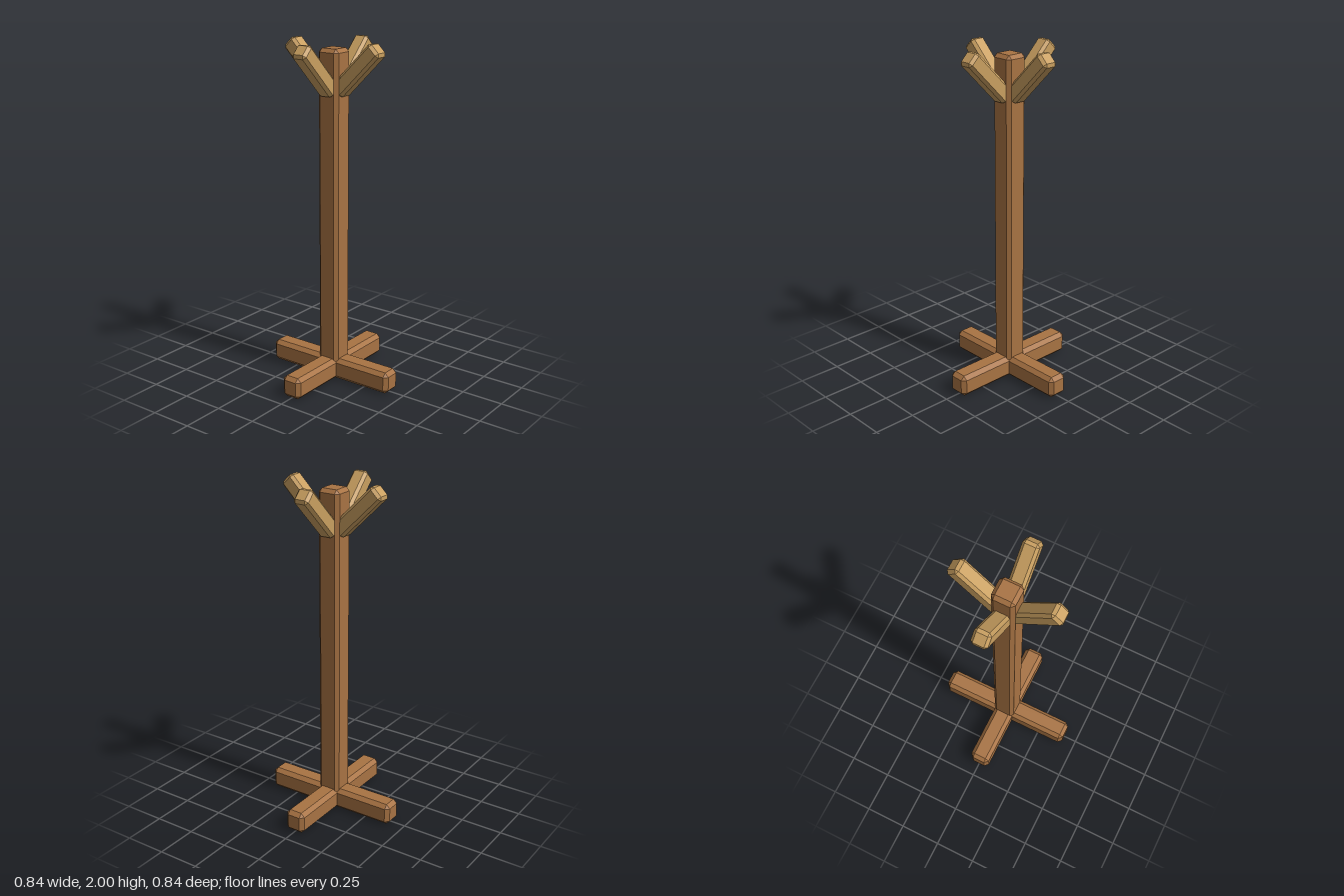
import * as THREE from 'three';
import { ConvexGeometry } from 'three/addons/geometries/ConvexGeometry.js';

// Box with every edge cut at 45 degrees by c
function chamferBox(w, h, d, c) {
  const half = [w / 2, h / 2, d / 2];
  const points = [];
  for (const sx of [-1, 1]) for (const sy of [-1, 1]) for (const sz of [-1, 1]) {
    const s = [sx, sy, sz];
    // three points per corner, each lying on one of the main faces
    for (let face = 0; face < 3; face++) {
      points.push(new THREE.Vector3(...half.map((v, i) => s[i] * (i === face ? v : v - c))));
    }
  }
  return new ConvexGeometry(points);
}

export function createModel() {
  const model = new THREE.Group();
  model.name = 'coatStand';

  const darkWood = new THREE.MeshStandardMaterial({ color: 0xa87343 });
  darkWood.name = 'dark wood';
  const lightWood = new THREE.MeshStandardMaterial({ color: 0xc99f60 });
  lightWood.name = 'light wood';

  // Crossed feet
  const footGeometry = chamferBox(0.84, 0.13, 0.124, 0.023);
  for (let i = 0; i < 2; i++) {
    const foot = new THREE.Mesh(footGeometry, darkWood);
    foot.name = 'footBar' + (i + 1);
    foot.position.y = 0.065;
    foot.rotation.y = i * Math.PI / 2;
    model.add(foot);
  }

  // Upright post
  const bottom = 0.06, top = 1.96;
  const post = new THREE.Mesh(chamferBox(0.136, top - bottom, 0.136, 0.021), darkWood);
  post.name = 'post';
  post.position.y = (bottom + top) / 2;
  model.add(post);

  // Four pegs slanting outwards at 45 degrees
  const pegGeometry = chamferBox(0.362, 0.094, 0.094, 0.016);
  for (let i = 0; i < 4; i++) {
    const arm = new THREE.Group();
    arm.name = 'pegArm' + (i + 1);
    arm.rotation.y = i * Math.PI / 2;
    const peg = new THREE.Mesh(pegGeometry, lightWood);
    peg.name = 'peg';
    peg.position.set(0.167, 1.85, 0);
    peg.rotation.z = Math.PI / 4;
    arm.add(peg);
    model.add(arm);
  }

  return model;
}
